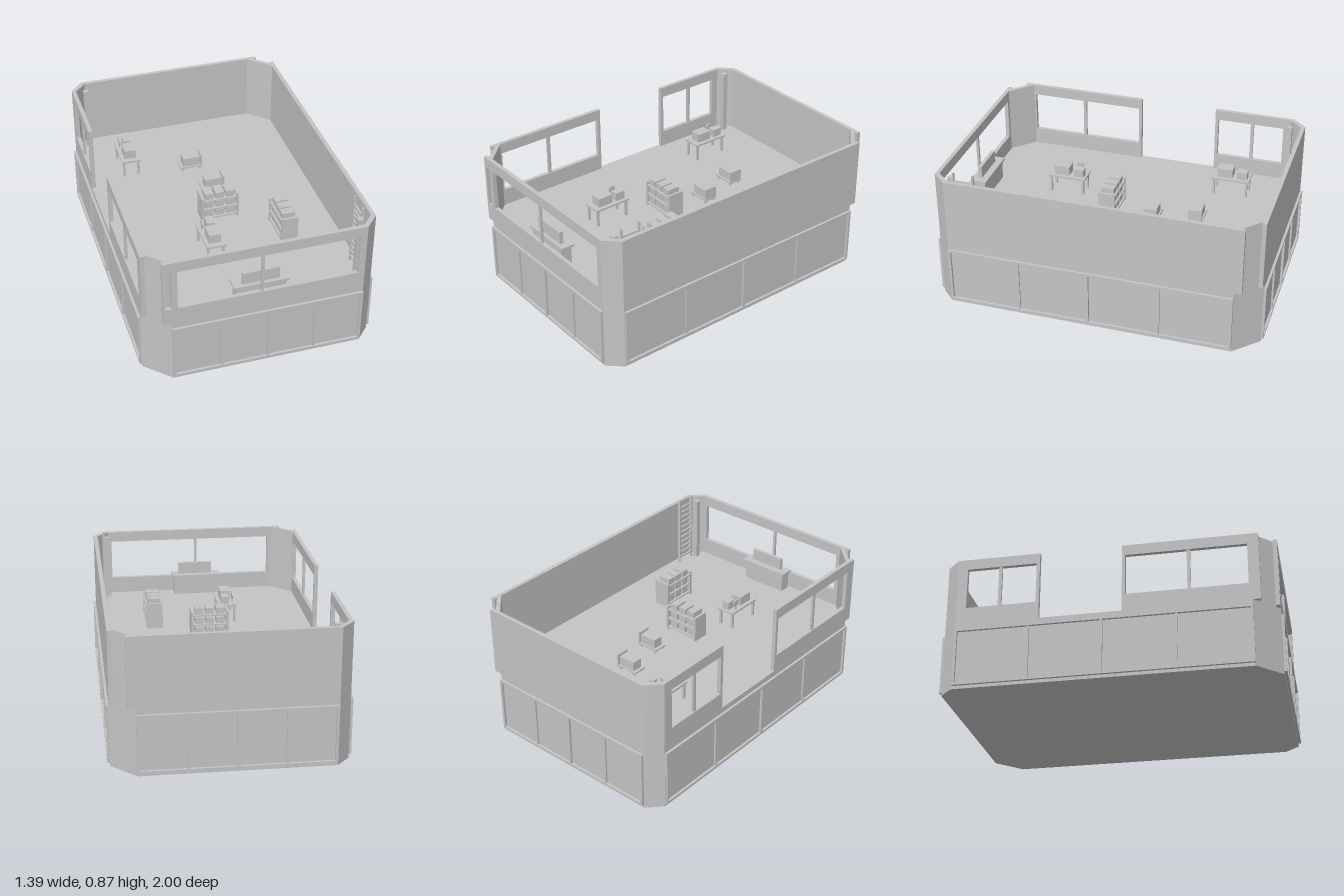
import * as THREE from 'three';

const FLOOR = 0.41, TOP = 0.835;      // floor level and wall top
const X = 0.68, Z = 0.985, T = 0.025; // outer wall planes and wall thickness

export function createModel() {
  const root = new THREE.Group();
  const grey = new THREE.MeshStandardMaterial({ color: 0xc4c4c4 });
  grey.name = 'plain grey';

  const group = (name, parent = root) => {
    const g = new THREE.Group();
    g.name = name;
    parent.add(g);
    return g;
  };
  const add = (name, geometry, parent = root) => {
    const m = new THREE.Mesh(geometry, grey);
    m.name = name;
    parent.add(m);
    return m;
  };
  // box given by its limits on each axis
  const box = (name, x0, x1, y0, y1, z0, z1, parent) => {
    const m = add(name, new THREE.BoxGeometry(x1 - x0, y1 - y0, z1 - z0), parent);
    m.position.set((x0 + x1) / 2, (y0 + y1) / 2, (z0 + z1) / 2);
    return m;
  };
  // upright prism over a plan of [x, z] corners
  const prism = (name, plan, y0, y1, parent) => {
    const shape = new THREE.Shape(plan.map(([x, z]) => new THREE.Vector2(x, -z)));
    const g = new THREE.ExtrudeGeometry(shape, { depth: y1 - y0, bevelEnabled: false });
    add(name, g.rotateX(-Math.PI / 2).translate(0, y0, 0), parent);
  };
  // upright wall panel from a to b with rectangular window holes [a, b]
  const windowWall = (a, b, holes) => {
    const rect = (P, u0, u1, v0, v1) => {
      const p = new P();
      p.moveTo(u0, v0); p.lineTo(u1, v0); p.lineTo(u1, v1); p.lineTo(u0, v1); p.closePath();
      return p;
    };
    const s = rect(THREE.Shape, a, b, FLOOR, TOP);
    for (const [u0, u1] of holes) s.holes.push(rect(THREE.Path, u0, u1, 0.515, 0.77));
    return new THREE.ExtrudeGeometry(s, { depth: T, bevelEnabled: false });
  };

  // Lower storey: two narrow and two wide cut corners
  const half = [[-0.535, Z], [0.6, Z], [X, 0.9], [X, -0.84]];
  prism('lowerStorey', [...half, ...half.map(([x, z]) => [-x, -z])], 0, FLOOR);

  // Framed cladding on one side; u runs along the side, out is its plane
  const cladding = (name, u0, u1, out, turn) => {
    const g = group(name);
    const w = 0.015, d = 0.015;
    for (const y of [0.02, 0.36]) box('frameRail', u0, u1, y, y + w, out, out + d, g);
    for (let i = 0; i <= 4; i++) {
      const u = u0 + (u1 - u0 - w) * i / 4;
      box('frameBar', u, u + w, 0.035, 0.36, out, out + (i === 1 || i === 3 ? 0.011 : d), g);
    }
    g.rotation.y = turn;
  };
  cladding('frontCladding', -0.535, 0.597, Z, 0);
  cladding('backCladding', -0.535, 0.597, Z, Math.PI);
  cladding('leftCladding', -0.897, 0.84, X, Math.PI / 2);
  cladding('rightCladding', -0.897, 0.84, X, -Math.PI / 2);

  // Upper walls
  const walls = group('upperWalls');
  box('backWall', -0.6, 0.585, FLOOR, TOP, -Z, -Z + T, walls);
  box('leftWall', X - T, X, FLOOR, TOP, -0.885, 0.9, walls);
  add('frontWall', windowWall(-0.585, 0.6, [[-0.57, -0.535], [-0.5, 0.56]]), walls)
    .position.z = Z - T;
  box('frontMullion', -0.017, 0, 0.515, 0.77, Z - 0.02, Z - 0.005, walls);
  const sideWalls = [
    ['rightRearWall', -0.9, -0.4, [[-0.84, -0.42]], -0.64],
    ['rightFrontWall', 0.09, 0.885, [[0.11, 0.82]], 0.48],
  ];
  for (const [name, a, b, holes, mullion] of sideWalls) {
    add(name, windowWall(a, b, holes).rotateY(-Math.PI / 2), walls).position.x = -X + T;
    box('sideMullion', -X + 0.005, -X + 0.02, 0.515, 0.77, mullion - 0.01, mullion + 0.01, walls);
  }

  // Corner panels, repeated by a half turn
  const narrow = [[0.6, Z], [X, 0.9], [X - T, 0.885], [0.585, Z - T]];
  const wide = [[0.56, -0.96], [0.655, -0.865], [0.655, -0.83], [0.525, -0.96]];
  for (const s of [1, -1]) {
    const turned = plan => plan.map(([x, z]) => [x * s, z * s]);
    prism('narrowCorner', turned(narrow), FLOOR, TOP, walls);
    prism('wideCorner', turned(wide), FLOOR, TOP, walls);
    const cx = 0.59 * s, cz = 0.89 * s;
    box('cornerPost', cx - 0.016, cx + 0.016, FLOOR, TOP - 0.01, cz - 0.016, cz + 0.016, walls);
  }

  // Ladder beside the corner
  const ladder = group('ladder');
  for (const z of [0.735, 0.855]) box('ladderRail', 0.608, 0.623, FLOOR, 0.87, z, z + 0.01, ladder);
  for (let i = 0; i < 11; i++) {
    const y = 0.44 + i * 0.037;
    box('ladderRung', 0.61, 0.62, y, y + 0.01, 0.74, 0.86, ladder);
  }

  // Reception desk with an upright board
  const desk = group('receptionDesk');
  box('deskBody', -0.15, 0.145, FLOOR, 0.53, 0.875, 0.945, desk);
  box('deskTop', -0.165, 0.16, 0.53, 0.545, 0.863, 0.95, desk);
  box('deskBoard', -0.11, 0.11, 0.545, 0.62, 0.905, 0.928, desk);

  // Work tables, placed by their centre on the floor
  const table = (x, z) => {
    const g = group('workTable');
    g.position.set(x, FLOOR, z);
    box('tableTop', -0.06, 0.06, 0.103, 0.115, -0.12, 0.12, g);
    for (const sx of [-0.046, 0.046]) for (const sz of [-0.104, 0.104])
      box('tableLeg', sx - 0.007, sx + 0.007, 0, 0.103, sz - 0.007, sz + 0.007, g);
    box('smallCarton', -0.012, 0.036, 0.115, 0.165, -0.104, -0.04, g);
    box('largeCarton', -0.035, 0.036, 0.115, 0.172, -0.012, 0.085, g);
    box('scannerStand', -0.041, -0.033, 0.115, 0.165, -0.066, -0.058, g);
    const head = add('scannerHead', new THREE.CylinderGeometry(0.022, 0.022, 0.008, 16), g);
    head.rotation.z = Math.PI / 2;
    head.position.set(-0.037, 0.16, -0.062);
  };
  table(-0.405, -0.575);
  table(-0.14, 0.415);

  // Loaded carts
  const cart = (x, z) => {
    const g = group('cart');
    g.position.set(x, FLOOR, z);
    box('cartDeck', -0.073, 0.073, 0.02, 0.03, -0.043, 0.043, g);
    box('cartBackPlate', 0.063, 0.071, 0.03, 0.1, -0.042, 0.042, g);
    box('cartLoad', -0.052, 0.058, 0.03, 0.088, -0.033, 0.033, g);
    for (const wx of [-0.055, 0.055]) for (const wz of [-0.033, 0.033]) {
      const wheel = add('cartWheel', new THREE.CylinderGeometry(0.01, 0.01, 0.008, 12), g);
      wheel.rotation.x = Math.PI / 2;
      wheel.position.set(wx, 0.01, wz);
    }
  };
  cart(-0.023, -0.452);
  cart(0.045, -0.188);

  // Shelf racks filled with boxes
  const rack = (x, z, turn) => {
    const g = group('shelfRack');
    g.position.set(x, FLOOR, z);
    g.rotation.y = turn;
    for (const s of [-1, 1]) box('rackEnd', s * 0.11 - 0.007, s * 0.11 + 0.007, 0, 0.165, -0.052, 0.052, g);
    for (let level = 0; level < 3; level++) {
      const y = 0.015 + level * 0.062;
      box('rackShelf', -0.105, 0.105, y, y + 0.01, -0.052, 0.052, g);
      for (const bx of [-0.066, 0, 0.066])
        box('storedBox', bx - 0.026, bx + 0.026, y + 0.01, y + 0.05, -0.04, 0.04, g);
    }
  };
  rack(0.003, 0.088, 0);
  rack(0.333, 0.352, Math.PI / 2);

  return root;
}
